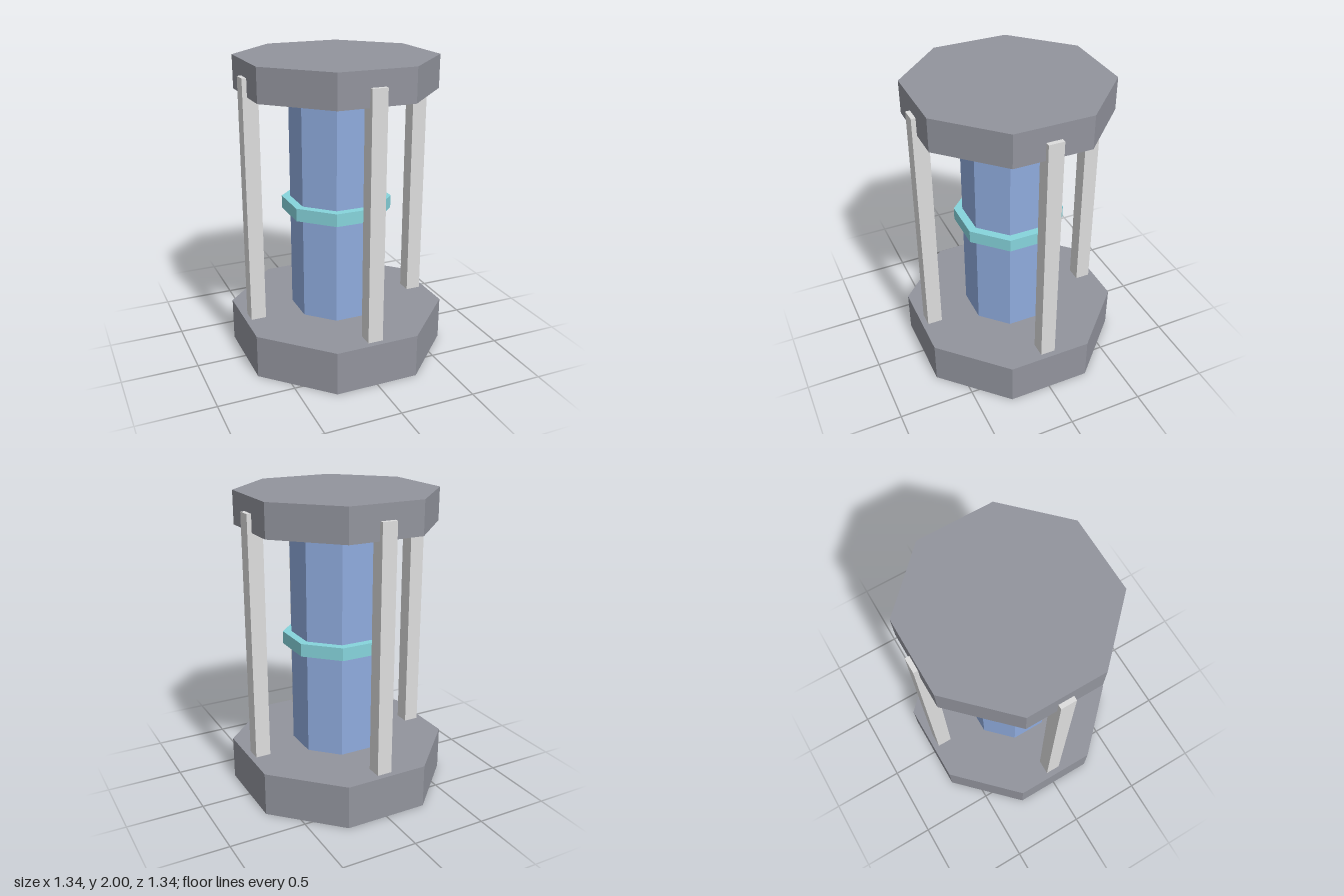
import * as THREE from 'three';

const material = (name, color) => {
  const m = new THREE.MeshStandardMaterial({ color });
  m.name = name;
  return m;
};

export function createModel() {
  const group = new THREE.Group();
  group.name = 'containmentTank';

  const grey = material('slate grey', 0x92949d);
  const blue = material('tank blue', 0x8fabdd);
  const teal = material('band teal', 0x86d4dc);
  const pale = material('pale metal', 0xdddddd);

  // Octagonal prism, measured across its flats, with a flat side facing front
  function prism(name, apothem, y0, y1, mat) {
    const r = apothem / Math.cos(Math.PI / 8);
    const indexed = new THREE.CylinderGeometry(r, r, y1 - y0, 8);
    indexed.rotateY(Math.PI / 8);
    indexed.translate(0, (y0 + y1) / 2, 0);
    const geo = indexed.toNonIndexed();
    geo.computeVertexNormals(); // one normal per facet
    const mesh = new THREE.Mesh(geo, mat);
    mesh.name = name;
    group.add(mesh);
  }

  prism('base', 0.67, 0, 0.29, grey);
  prism('tank', 0.283, 0.28, 1.75, blue);
  prism('tankBand', 0.335, 0.98, 1.065, teal);
  prism('lid', 0.603, 1.785, 2, grey);

  // Four square posts, one per main side, rising into the lid's edge
  const postGeo = new THREE.BoxGeometry(0.1, 1.62, 0.1);
  for (let i = 0; i < 4; i++) {
    const a = (i * Math.PI) / 2;
    const post = new THREE.Mesh(postGeo, pale);
    post.name = 'post' + ['Front', 'Left', 'Back', 'Right'][i];
    post.position.set(Math.sin(a) * 0.582, 1.09, Math.cos(a) * 0.582);
    post.rotation.y = a;
    group.add(post);
  }

  return group;
}
